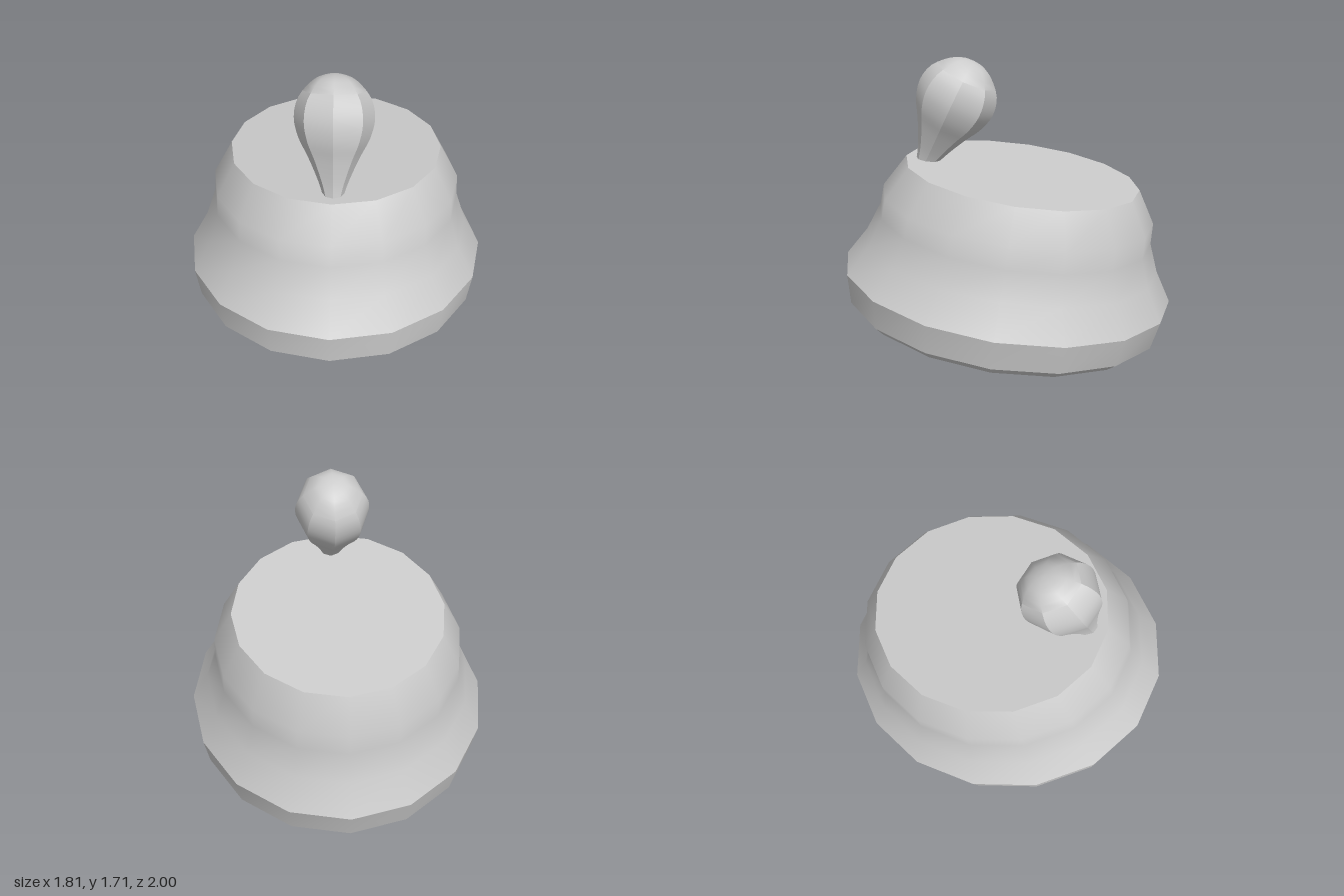
import * as THREE from 'three';
import { toCreasedNormals } from 'three/addons/utils/BufferGeometryUtils.js';

const SIDES = 16;

// Smooth skin over a list of tilted elliptical rings: [frontZ, frontY, backZ, backY, halfWidth]
function loftRings(rings) {
  const pos = [], index = [];
  for (const [fz, fy, bz, by, rx] of rings) {
    for (let j = 0; j < SIDES; j++) {
      const a = (j / SIDES) * Math.PI * 2;
      const t = (1 + Math.cos(a)) / 2; // 1 at the front, 0 at the back
      pos.push(rx * Math.sin(a), by + (fy - by) * t, bz + (fz - bz) * t);
    }
  }
  for (let i = 0; i < rings.length - 1; i++) {
    for (let j = 0; j < SIDES; j++) {
      const k = (j + 1) % SIDES;
      const a = i * SIDES + j, b = i * SIDES + k, c = b + SIDES, d = a + SIDES;
      index.push(a, b, c, a, c, d);
    }
  }
  const geo = new THREE.BufferGeometry();
  geo.setAttribute('position', new THREE.Float32BufferAttribute(pos, 3));
  geo.setIndex(index);
  geo.computeVertexNormals();
  return geo;
}

export function createModel() {
  const model = new THREE.Group();
  const grey = new THREE.MeshStandardMaterial({ color: 0xcccccc, side: THREE.DoubleSide });
  grey.name = 'lightGrey';

  const add = (name, geo) => {
    const mesh = new THREE.Mesh(geo, grey);
    mesh.name = name;
    model.add(mesh);
    return mesh;
  };

  // Rings of the thin shell: inside ledge, lip, rim, then up the outside
  const rings = [
    [0.965, 0.365, -0.945, 0.12, 0.875],
    [0.85, 0.283, -0.81, 0.065, 0.75],
    [0.935, 0.24, -0.88, 0.0, 0.82],
    [0.985, 0.295, -0.945, 0.045, 0.875],
    [1.0, 0.478, -1.0, 0.215, 0.905],
    [0.87, 0.64, -0.915, 0.41, 0.805],
    [0.78, 0.81, -0.87, 0.59, 0.745],
    [0.755, 0.93, -0.88, 0.72, 0.74],
    [0.61, 1.115, -0.79, 0.93, 0.63],
  ];
  const lidCentre = [-0.09, 1.0225, -0.09, 1.0225, 0];

  // Each part is smooth, with a hard edge where it meets the next
  const parts = {
    innerLedge: rings.slice(0, 2),
    rim: rings.slice(1, 3),
    outerChamfer: rings.slice(2, 4),
    outerBand: rings.slice(3, 5),
    wall: rings.slice(4),
    topPanel: [rings[8], lidCentre],
  };
  for (const [name, section] of Object.entries(parts)) add(name, loftRings(section));

  // Eight-sided bulb leaning back from the front of the lid
  const profile = new THREE.SplineCurve([
    [0.058, -0.04], [0.08, 0.03], [0.114, 0.11], [0.158, 0.2], [0.212, 0.3],
    [0.238, 0.41], [0.212, 0.52], [0.13, 0.61], [0.06, 0.642], [0, 0.65],
  ].map(([r, y]) => new THREE.Vector2(r, y))).getPoints(27);
  const bulb = add('bulb', toCreasedNormals(new THREE.LatheGeometry(profile, 8), 0.6));
  bulb.position.set(0.005, 1.105, 0.48);
  bulb.rotation.x = -0.45;
  bulb.scale.x = 0.93;

  return model;
}
